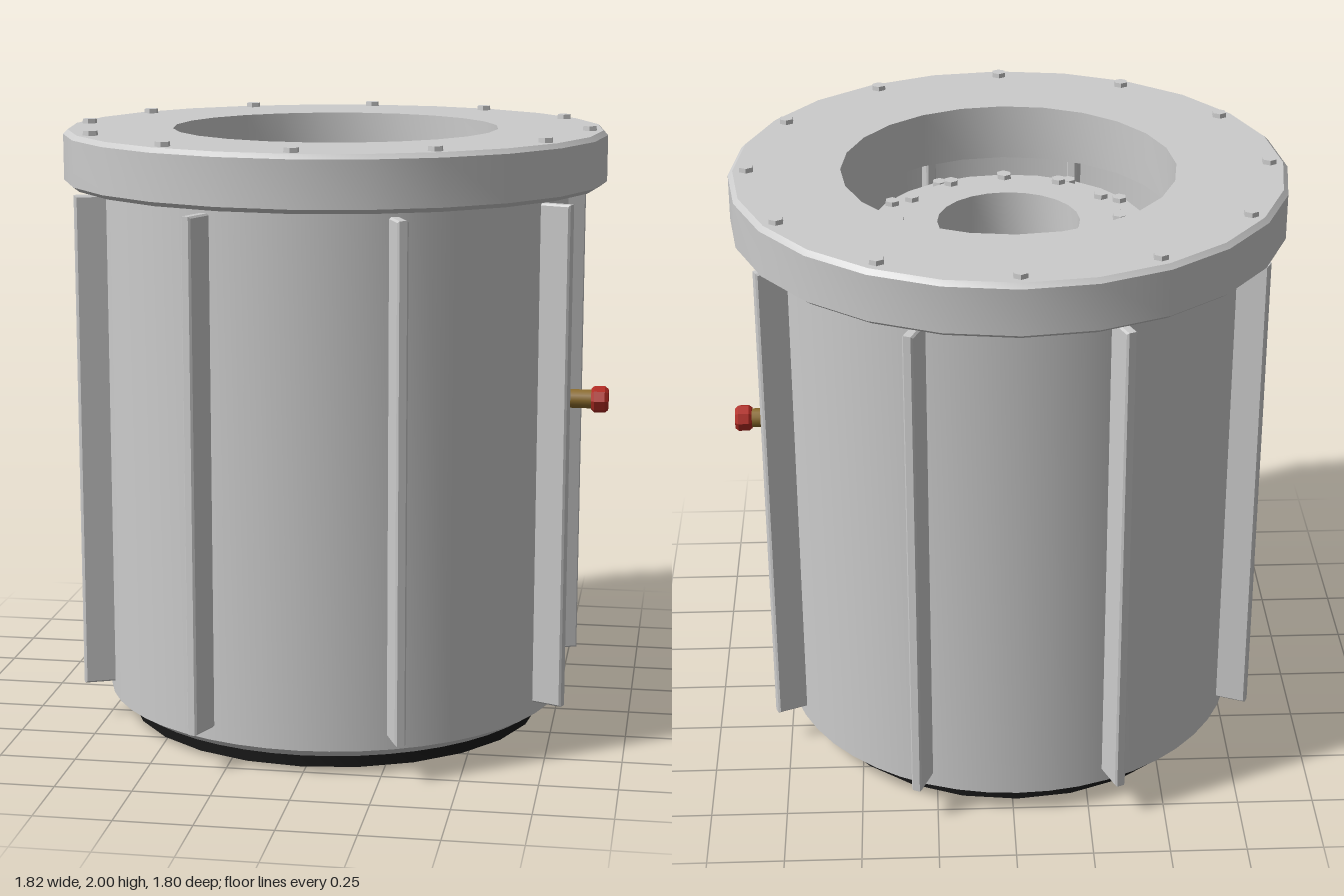
import * as THREE from 'three';
import { toCreasedNormals } from 'three/addons/utils/BufferGeometryUtils.js';

const grey = new THREE.MeshStandardMaterial({ color: 0xcccccc });
const black = new THREE.MeshStandardMaterial({ color: 0x181818 });
const red = new THREE.MeshStandardMaterial({ color: 0xb02a22 });
const brass = new THREE.MeshStandardMaterial({ color: 0x8c6c2c });

function add(parent, name, geometry, material) {
  const mesh = new THREE.Mesh(geometry, material);
  mesh.name = name;
  parent.add(mesh);
  return mesh;
}

// Closed ring section [radius, y], listed up the outside and down the inside
function ring(points, sides = 24) {
  const profile = [...points, points[0]].map(([r, y]) => new THREE.Vector2(r, y));
  return toCreasedNormals(new THREE.LatheGeometry(profile, sides), 0.5);
}

// Upright fin with bevelled edges
function finGeometry() {
  const w = 0.11, t = 0.012, b = 0.006;
  const shape = new THREE.Shape();
  shape.moveTo(0.64, 0.13);
  shape.lineTo(0.76 + w, 0.13);
  shape.lineTo(0.76 + w, 1.775);
  shape.lineTo(0.64, 1.775);
  const g = new THREE.ExtrudeGeometry(shape, {
    depth: 2 * t, bevelSize: b, bevelThickness: b, bevelSegments: 1,
  });
  return g.translate(0, 0, -t);
}

// Hollow flanged drum; k scales the radius, h the height, y0 is the base
function drum(name, k, h, y0) {
  const group = new THREE.Group();
  group.name = name;
  group.position.y = y0;

  const shell = new THREE.Group();
  shell.name = 'shell';
  shell.scale.set(k, h, k);
  group.add(shell);
  add(shell, 'body', ring([
    [0.72, 0.045], [0.775, 0.08], [0.775, 1.81], [0.68, 1.81], [0.68, 0.06], [0.60, 0.045],
  ], 48), grey);
  add(shell, 'flange', ring([
    [0.78, 1.80], [0.88, 1.805], [0.90, 1.82], [0.90, 1.97], [0.885, 1.985],
    [0.54, 1.985], [0.54, 1.80],
  ]), grey);
  add(shell, 'seal', ring([
    [0.70, 0], [0.70, 0.06], [0.56, 0.06], [0.56, 0],
  ]), black);

  // Eight fins around the body
  const fin = finGeometry();
  for (let i = 0; i < 8; i++) {
    add(shell, 'fin', fin, grey).rotation.y = (i + 0.5) * Math.PI / 4;
  }

  // Twelve hexagonal bolts on the flange
  const bolt = toCreasedNormals(new THREE.CylinderGeometry(0.024, 0.027, 0.03, 6), 0.5);
  for (let i = 0; i < 12; i++) {
    const a = i * Math.PI / 6;
    add(group, 'bolt', bolt, grey)
      .position.set(0.84 * k * Math.cos(a), 1.985 * h, 0.84 * k * Math.sin(a));
  }

  // Side valve: brass stem and red cap
  const valve = new THREE.Group();
  valve.name = 'valve';
  valve.position.set(0.775 * k, 1.09 * h, 0);
  valve.rotation.z = -Math.PI / 2;
  group.add(valve);
  add(valve, 'valveStem', new THREE.CylinderGeometry(0.032, 0.032, 0.16, 12), brass)
    .position.y = 0.03;
  add(valve, 'valveCap', ring([
    [0.037, 0.09], [0.045, 0.1], [0.045, 0.135], [0.036, 0.146], [0, 0.146], [0, 0.09],
  ], 8), red);
  return group;
}

export function createModel() {
  const model = new THREE.Group();
  model.name = 'nestedDrums';
  model.add(
    drum('outerDrum', 1, 1, 0),
    drum('middleDrum', 0.52, 0.78, 0.22),
    drum('innerDrum', 0.43, 0.78, 0.25),
  );
  model.position.x = -0.015;
  return model;
}
